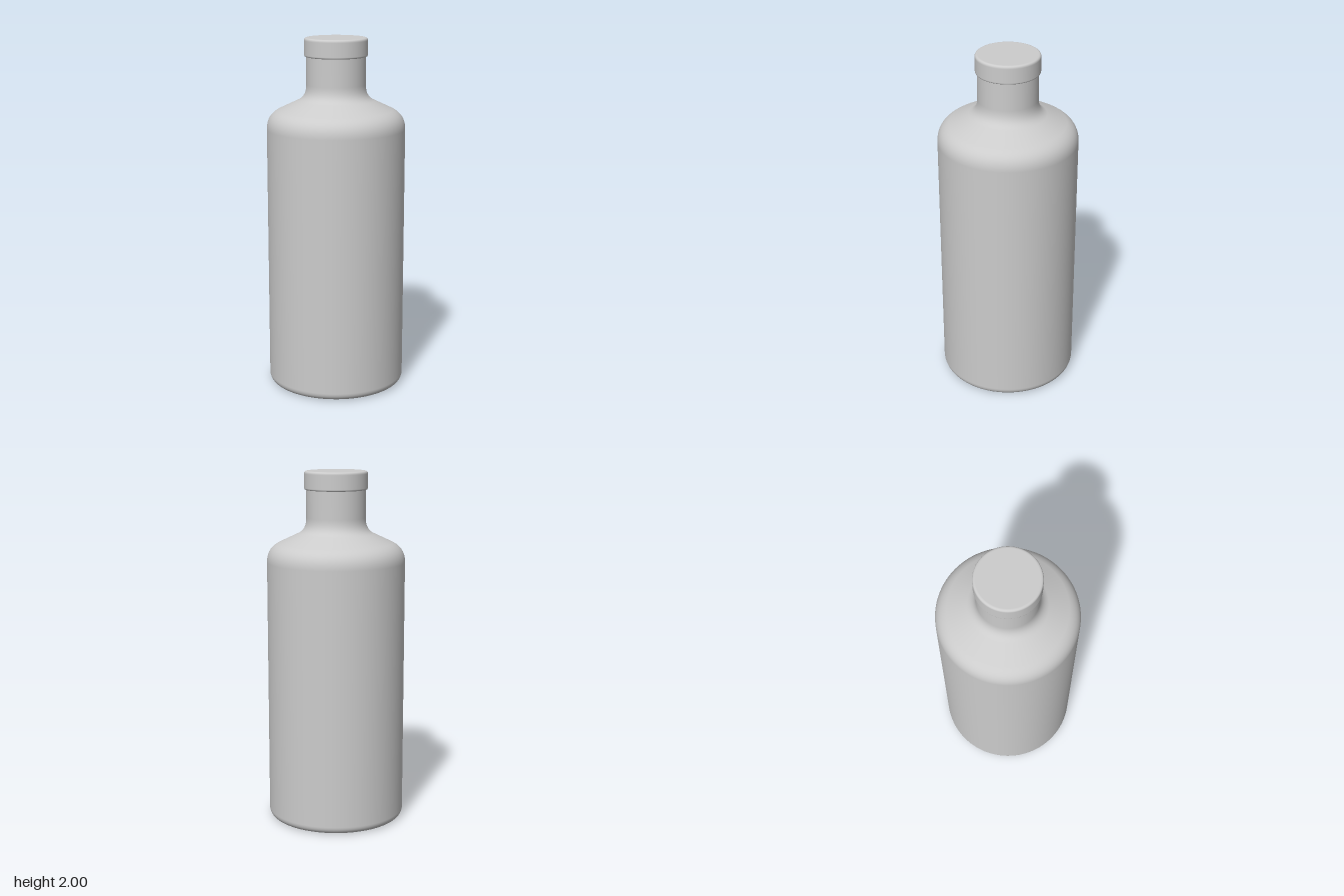
import * as THREE from 'three';

const SEGMENTS = 96;

// Spins a profile path (drawn from bottom to top) around the y axis.
function turned(name, path, material) {
  const mesh = new THREE.Mesh(new THREE.LatheGeometry(path.getPoints(14), SEGMENTS), material);
  mesh.name = name;
  return mesh;
}

export function createModel() {
  const group = new THREE.Group();
  group.name = 'bottle';
  const material = new THREE.MeshStandardMaterial({ color: 0xcccccc });

  // Body: flat base, rounded foot, straight wall, sloping shoulder, neck
  const body = new THREE.Path();
  body.moveTo(0, 0);
  body.lineTo(0.345, 0);
  body.bezierCurveTo(0.372, 0, 0.39, 0.018, 0.39, 0.045);
  body.lineTo(0.39, 1.49);
  body.bezierCurveTo(0.39, 1.545, 0.365, 1.578, 0.325, 1.598);
  body.lineTo(0.215, 1.65);
  body.bezierCurveTo(0.185, 1.665, 0.167, 1.69, 0.167, 1.74);
  body.lineTo(0.167, 1.91);
  group.add(turned('body', body, material));

  // Cap: slightly wider disc with softened rims
  const cap = new THREE.Path();
  cap.moveTo(0, 1.895);
  cap.lineTo(0.167, 1.895);
  cap.quadraticCurveTo(0.178, 1.895, 0.178, 1.906);
  cap.lineTo(0.178, 1.984);
  cap.quadraticCurveTo(0.178, 2, 0.162, 2);
  cap.lineTo(0, 2);
  group.add(turned('cap', cap, material));

  return group;
}
